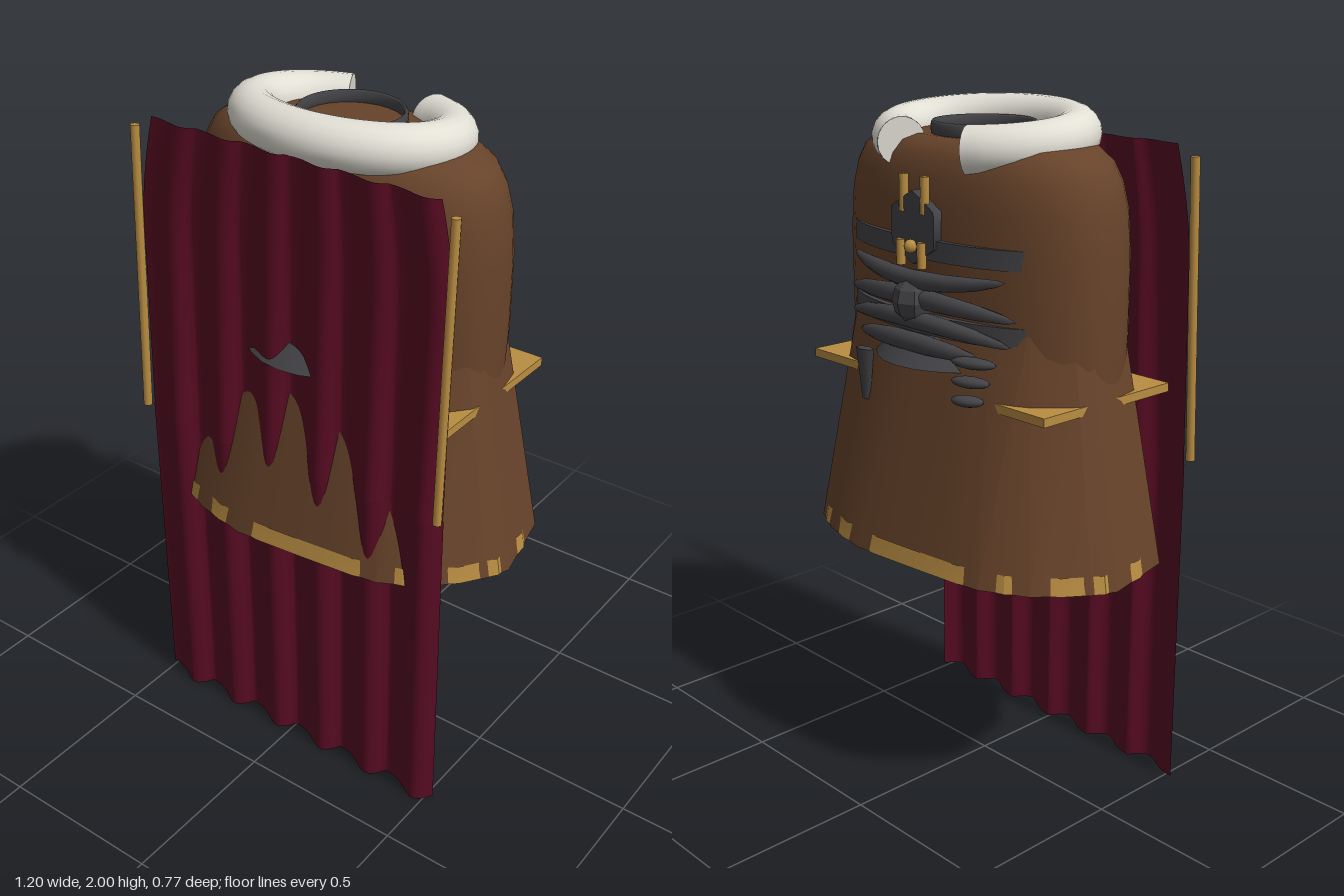
import * as THREE from 'three';
import { toCreasedNormals } from 'three/addons/utils/BufferGeometryUtils.js';

const paint = (name, color) => {
  const m = new THREE.MeshStandardMaterial({ color, side: THREE.DoubleSide });
  m.name = name;
  return m;
};

// Factor that turns a circle direction into a fuller, squarer oval
const fuller = (x, z, n) => {
  const r = Math.hypot(x, z);
  return r < 1e-6 ? 1 : r / (Math.abs(x) ** n + Math.abs(z) ** n) ** (1 / n);
};

// Move every vertex of a geometry by a rule and refresh its normals
const reshape = (g, rule) => {
  const p = g.attributes.position;
  for (let i = 0; i < p.count; i++) p.setXYZ(i, ...rule(p.getX(i), p.getY(i), p.getZ(i)));
  g.computeVertexNormals();
  return g;
};

// Stretch a round geometry to a full oval plan
const oval = (g, rx, rz, n) => reshape(g, (x, y, z) => {
  const f = fuller(x, z, n);
  return [x * f * rx, y, z * f * rz];
});

export function createModel() {
  const group = new THREE.Group();
  const brown = paint('brown cloth', 0x67432a);
  const red = paint('dark red cloth', 0x570b22);
  const gold = paint('gold trim', 0xb98d42);
  const dark = paint('dark metal', 0x434347);
  const white = paint('white fur', 0xe2dfd5);

  const add = (name, geometry, material, x = 0, y = 0, z = 0) => {
    const mesh = new THREE.Mesh(geometry, material);
    mesh.name = name;
    mesh.position.set(x, y, z);
    group.add(mesh);
    return mesh;
  };

  // Torso: rounded shoulders on an oval plan
  const profile = [[0.98, 1.2], [1, 1.4], [1, 1.62], [0.98, 1.74], [0.94, 1.81], [0.88, 1.86], [0.78, 1.895], [0.62, 1.91], [0, 1.914]];
  const torso = new THREE.LatheGeometry(profile.map(([r, y]) => new THREE.Vector2(r, y)), 48);
  add('torso', oval(torso, 0.485, 0.245, 2.3), brown);

  // Pleated skirt: half the hem outline, repeated by a half turn
  const half = [[0.602, 0.074], [0.55, -0.159], [0.408, -0.294], [0.294, -0.35], [0.123, -0.387],
    [-0.013, -0.374], [-0.19, -0.361], [-0.337, -0.342], [-0.466, -0.272], [-0.572, -0.142]];
  const hem = [...half, ...half.map(([x, z]) => [-x, -z])];
  const TOP = 1.45, HEM = 0.75;
  const loft = (ring, y0, y1) => {
    const at = ([x, z], y) => {
      const t = (y - HEM) / (TOP - HEM);
      const u = x / 0.605, w = z / 0.375;
      const k = fuller(u, w, 2.6) / Math.hypot(u, w);
      return [x + (u * k * 0.455 - x) * t, y, z + (w * k * 0.238 - z) * t];
    };
    const pos = [];
    ring.forEach((p, i) => {
      const q = ring[(i + 1) % ring.length];
      const a = at(p, y0), b = at(q, y0), c = at(q, y1), d = at(p, y1);
      pos.push(...a, ...b, ...c, ...a, ...c, ...d);
    });
    const g = new THREE.BufferGeometry();
    g.setAttribute('position', new THREE.Float32BufferAttribute(pos, 3));
    return toCreasedNormals(g, 0.35);
  };
  add('skirt', loft(hem, HEM, TOP), brown);

  // Gold hem, showing between the pleat ridges
  const trim = hem.map(([x, z], i) => {
    const [u, w] = hem[(i + 1) % hem.length];
    return [(x + u) * 0.505, (z + w) * 0.505];
  });
  add('hemTrim', loft(trim, HEM, 0.8), gold);

  // Waist plate whose corners stand out of the skirt
  add('waistPlate', new THREE.BoxGeometry(0.97, 0.025, 0.49), gold, 0, 1.235, 0);

  // Cape in two panels with six saw-toothed folds
  const capePanel = (name, y0, y1, rows, halfWidth, depth, lean) => {
    add(name, reshape(new THREE.PlaneGeometry(1, 1, 96, rows), (px, py) => {
      const s = px + 0.5;
      const y = y0 + (py + 0.5) * (y1 - y0);
      const fold = Math.sin(Math.PI * ((s * 6) % 1) ** 2.2);
      return [(s * 2 - 1) * halfWidth(y), y, 0.29 + depth(y) * fold - lean(y)];
    }), red);
  };
  capePanel('lowerCape', 0, 1.005, 6, () => 0.517, () => 0.045, () => 0);
  capePanel('upperCape', 0.995, 1.9, 24,
    y => 0.515 - 0.05 * Math.max(0, (y - 1.6) / 0.3) ** 1.6,
    y => 0.045 - 0.028 * (y - 1) / 0.9,
    y => 0.022 * (y - 1) / 0.9);

  // Gold rods down both cape edges
  for (const s of [-1, 1]) {
    const rod = add(s > 0 ? 'leftCapeRod' : 'rightCapeRod', new THREE.CylinderGeometry(0.013, 0.013, 0.86, 8), gold, s * 0.515, 1.44, 0.3);
    rod.rotation.x = -0.042;
  }

  // Fur collar: open at the back and tilted up at the front
  const path = [];
  for (let i = 0; i <= 24; i++) {
    const a = -1.08 + (Math.PI + 2.16) * i / 24;
    const z = 0.21 * Math.sin(a);
    path.push(new THREE.Vector3(0.288 * Math.cos(a), 1.909 + 0.108 * z, z));
  }
  const curve = new THREE.CatmullRomCurve3(path);
  add('furCollar', new THREE.TubeGeometry(curve, 64, 0.068, 18), white);
  for (const t of [0, 1]) {
    const p = curve.getPointAt(t);
    const cap = add('furCollarEnd', new THREE.CircleGeometry(0.068, 18), white, p.x, p.y, p.z);
    cap.lookAt(p.clone().addScaledVector(curve.getTangentAt(t), t ? 1 : -1));
  }

  // Neck ring
  const neck = new THREE.TorusGeometry(0.147, 0.007, 8, 48).rotateX(Math.PI / 2);
  add('neckRing', neck.scale(1, 3, 0.95), dark, 0, 1.925, 0);

  // Belts, sunk into the torso at the sides
  for (const [y, rz] of [[1.625, 0.262], [1.42, 0.266]]) {
    add('belt', oval(new THREE.CylinderGeometry(1, 1, 0.055, 40), 0.452, rz, 2.3), dark, 0, y, 0);
  }

  // Flared plate reaching out at front and back
  add('flaredPlate', new THREE.CylinderGeometry(0.7, 1, 0.12, 28).scale(0.28, 1, 0.332), dark, 0, 1.368, 0);

  // Back ribs: flattened ellipsoids bent around the torso
  const rib = (name, x, y, w, h, droop, z0 = 0.268) => {
    const g = new THREE.SphereGeometry(1, 18, 8).scale(w, h, 0.025);
    add(name, reshape(g, (vx, vy, vz) =>
      [vx + x, vy + y - droop * vx * vx, vz - z0 * Math.sqrt(1 - ((vx + x) / 0.53) ** 2)]), dark);
  };
  rib('rib', 0, 1.54, 0.31, 0.026, -0.3);
  rib('rib', 0, 1.49, 0.34, 0.028, 0.2);
  rib('rib', 0, 1.43, 0.33, 0.026, 0.3, 0.274);
  rib('rib', 0, 1.37, 0.25, 0.028, 0.2, 0.285);

  // Small hanging plates below the ribs
  for (let i = 0; i < 3; i++) {
    rib('hangingPlate', -0.24, 1.35 - i * 0.05, 0.065 - i * 0.01, 0.016, 0, 0.3 + i * 0.012);
  }
  const pendant = new THREE.CylinderGeometry(0.035, 0.015, 0.15, 6).scale(1, 1, 0.5);
  add('pendant', pendant, dark, 0.2, 1.235, -0.28);

  // Central boss and the faceted plate above it
  add('boss', toCreasedNormals(new THREE.SphereGeometry(0.068, 8, 6), 0.2), dark, 0, 1.48, -0.256);
  const badge = new THREE.CylinderGeometry(0.1, 0.1, 0.04, 6).rotateX(Math.PI / 2);
  add('backPlate', badge, dark, 0, 1.68, -0.247);

  // Gold clasps and knob on the back plate
  for (const s of [-1, 1]) {
    add('upperClasp', new THREE.CylinderGeometry(0.013, 0.013, 0.1, 8), gold, s * 0.043, 1.77, -0.258);
    add('lowerClasp', new THREE.CylinderGeometry(0.013, 0.013, 0.07, 8), gold, s * 0.043, 1.61, -0.272);
  }
  add('knob', new THREE.SphereGeometry(0.019, 10, 8), gold, 0, 1.63, -0.274);

  return group;
}
